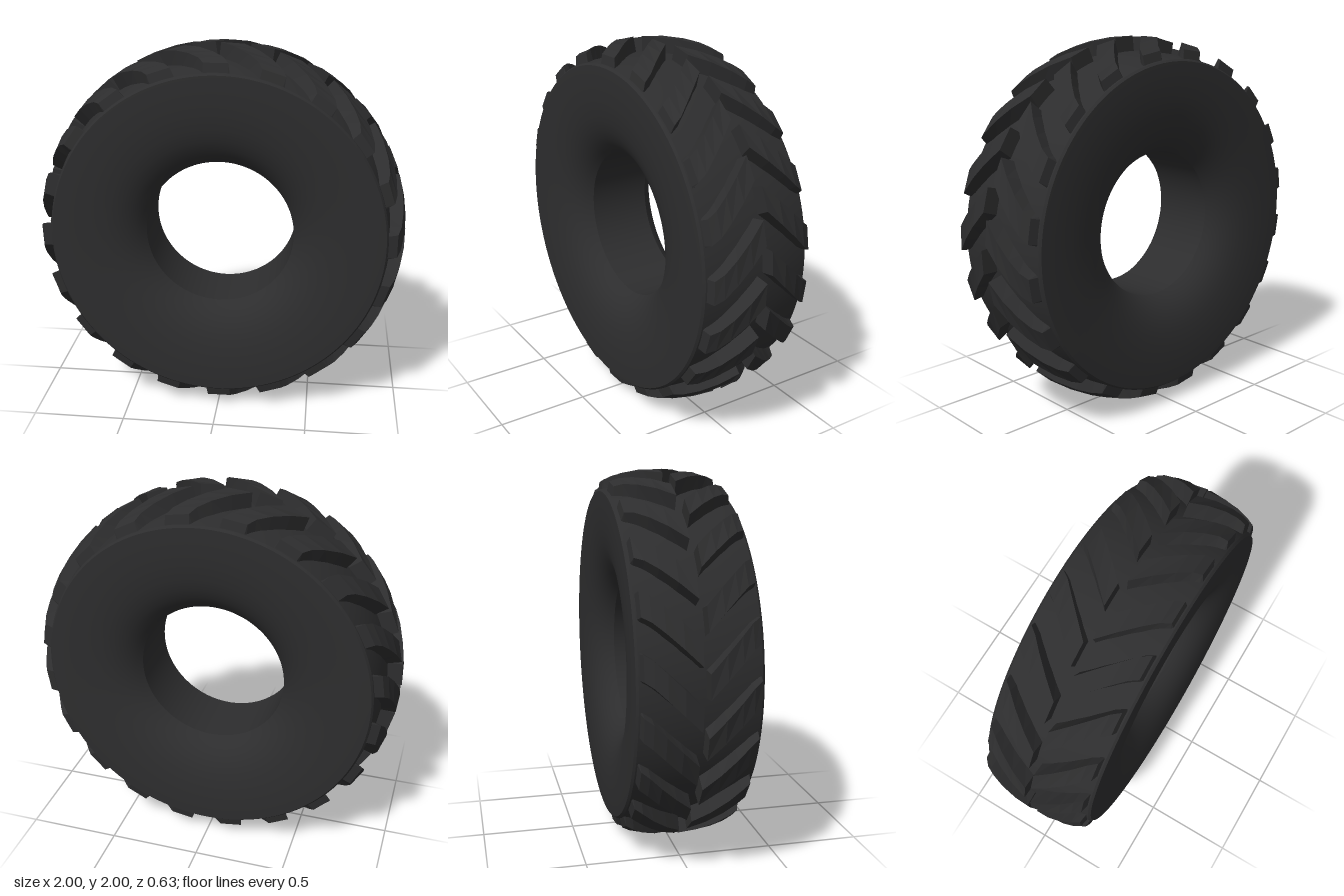
import * as THREE from 'three';
import { toCreasedNormals } from 'three/addons/utils/BufferGeometryUtils.js';

const LUGS = 20;
const PITCH = (Math.PI * 2) / LUGS;
const LUG_BASE = 0.87;

// Cross-sections of one tread bar, from the centre groove to the shoulder:
// z, top radius, sweep angle, half width at the top, half width at the base
const SECTIONS = [
  [0.016, 1.0, 0.0, 0.062, 0.08],
  [0.10, 0.995, 0.085, 0.063, 0.081],
  [0.18, 0.982, 0.165, 0.064, 0.082],
  [0.24, 0.965, 0.225, 0.066, 0.084],
  [0.283, 0.945, 0.255, 0.066, 0.084],
  [0.294, 0.89, 0.258, 0.068, 0.084],
];

// Bar for one side of the tread; side = 1 is the front half, -1 the back half
function lugGeometry(side) {
  const pos = [];
  const index = [];
  for (const [z, top, sweep, wTop, wBase] of SECTIONS) {
    for (const [r, a] of [[LUG_BASE, wBase], [top, wTop], [top, -wTop], [LUG_BASE, -wBase]]) {
      pos.push(r * Math.cos(a - sweep), r * Math.sin(a - sweep), z * side);
    }
  }
  // Corner order is mirrored along with the bar
  const quad = (a, b, c, d) => {
    if (side > 0) index.push(a, c, b, a, d, c);
    else index.push(a, b, c, a, c, d);
  };
  const end = (SECTIONS.length - 1) * 4;
  for (let i = 0; i < end; i += 4) {
    for (let k = 0; k < 4; k++) {
      const m = (k + 1) % 4;
      quad(i + k, i + 4 + k, i + 4 + m, i + m);
    }
  }
  quad(0, 1, 2, 3);
  quad(end + 3, end + 2, end + 1, end);

  // Make sure the faces point outwards
  const corner = (i) => new THREE.Vector3().fromArray(pos, i * 3);
  let volume = 0;
  for (let i = 0; i < index.length; i += 3) {
    volume += corner(index[i]).dot(corner(index[i + 1]).cross(corner(index[i + 2])));
  }
  if (volume < 0) index.reverse();

  const indexed = new THREE.BufferGeometry();
  indexed.setAttribute('position', new THREE.Float32BufferAttribute(pos, 3));
  indexed.setIndex(index);
  const geometry = indexed.toNonIndexed();
  geometry.computeVertexNormals();
  return geometry;
}

// Closed tyre body: tread base, shoulders, rounded sidewalls and bore
function carcassGeometry() {
  const half = [
    [0.92, 0.0], [0.917, 0.12], [0.908, 0.22], [0.895, 0.3], [0.885, 0.312],
    [0.82, 0.315], [0.7, 0.311], [0.6, 0.298], [0.54, 0.281], [0.49, 0.259],
    [0.45, 0.231], [0.42, 0.202], [0.4, 0.175],
  ];
  const back = half.slice(1).reverse().map(([r, z]) => [r, -z]);
  const points = [...back, ...half, back[0]].map(([r, z]) => new THREE.Vector2(r, z));
  const lathe = new THREE.LatheGeometry(points, 128);
  lathe.rotateX(Math.PI / 2);
  return toCreasedNormals(lathe, 0.5);
}

export function createModel() {
  const rubber = new THREE.MeshStandardMaterial({ color: 0x2d2d2e });
  rubber.name = 'dark rubber';

  const tyre = new THREE.Group();
  tyre.name = 'tyre';
  tyre.position.y = 1;

  const carcass = new THREE.Mesh(carcassGeometry(), rubber);
  carcass.name = 'tyreBody';
  tyre.add(carcass);

  // Staggered chevron bars on each half of the tread
  for (const [side, phase, name] of [[1, 0.105 + PITCH / 2, 'frontLug'], [-1, 0.105, 'backLug']]) {
    const geometry = lugGeometry(side);
    const row = new THREE.Group();
    row.name = name + 'Row';
    for (let i = 0; i < LUGS; i++) {
      const lug = new THREE.Mesh(geometry, rubber);
      lug.name = name;
      lug.rotation.z = phase + i * PITCH;
      row.add(lug);
    }
    tyre.add(row);
  }

  const model = new THREE.Group();
  model.name = 'tractorTyre';
  model.add(tyre);
  return model;
}
